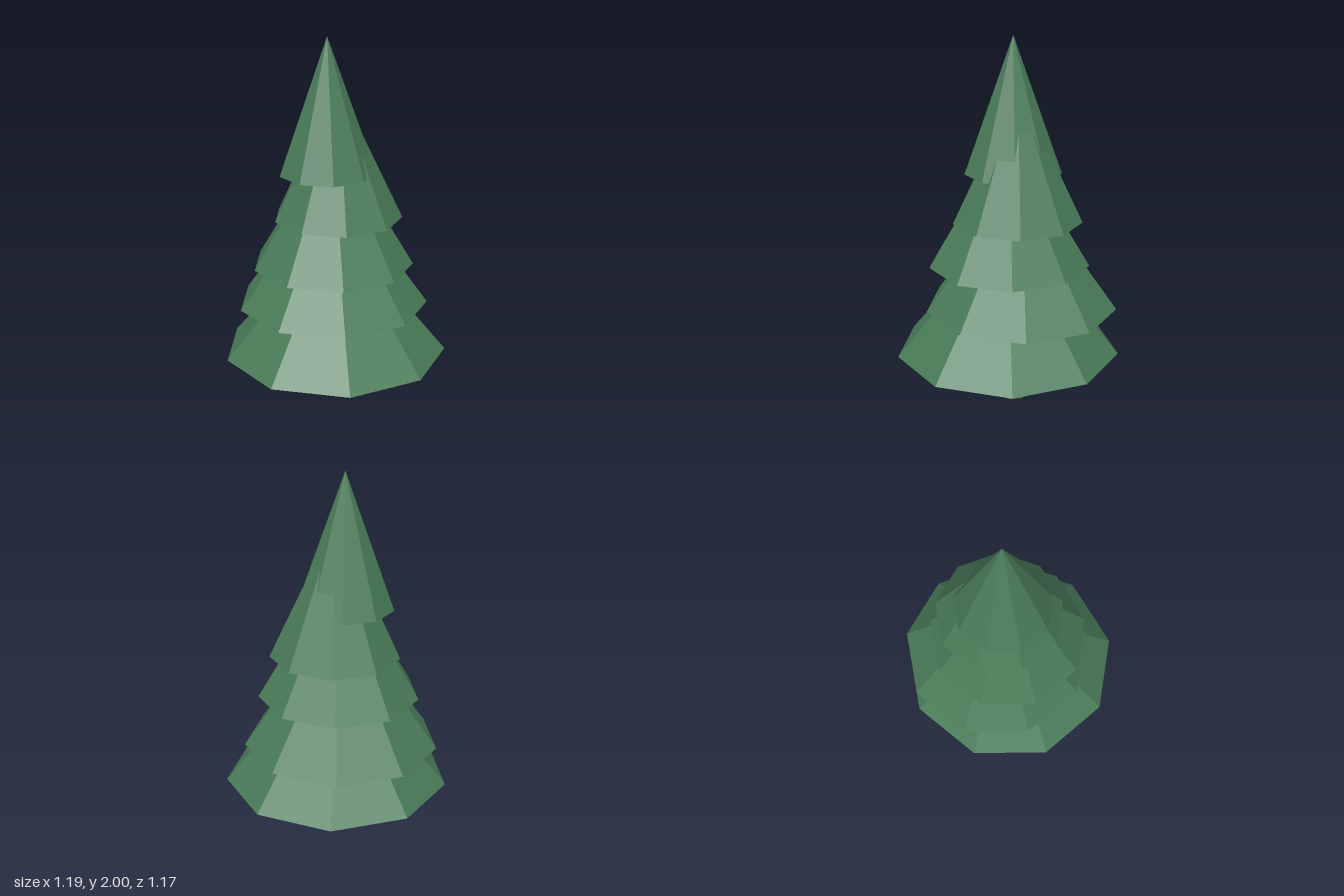
import * as THREE from 'three';

export function createModel() {
  const tree = new THREE.Group();
  tree.name = 'pineTree';

  const bark = new THREE.MeshStandardMaterial({ color: 0x6b5744, flatShading: true });
  const needles = new THREE.MeshStandardMaterial({ color: 0x4a7c59, flatShading: true });

  // Tapered seven-sided trunk, its top hidden inside the lowest tier
  const trunkHeight = 0.4;
  const trunk = new THREE.Mesh(new THREE.CylinderGeometry(0.07, 0.082, trunkHeight, 7), bark);
  trunk.name = 'trunk';
  trunk.position.set(-0.025, trunkHeight / 2, -0.043);
  tree.add(trunk);

  // Nine-sided foliage cones of equal height, shrinking upwards and slightly off centre
  const tierHeight = 0.72;
  const firstTier = 0.287;
  const tierStep = (2 - tierHeight - firstTier) / 4;
  const offsets = [[0, -0.02], [-0.05, -0.075], [-0.014, -0.02], [-0.014, -0.07], [-0.05, -0.024]];
  offsets.forEach(([x, z], i) => {
    const radius = 0.605 - i * 0.0865;
    const tier = new THREE.Mesh(new THREE.ConeGeometry(radius, tierHeight, 9), needles);
    tier.name = `foliageTier${i + 1}`;
    tier.position.set(x, firstTier + i * tierStep + tierHeight / 2, z);
    tree.add(tier);
  });

  return tree;
}
